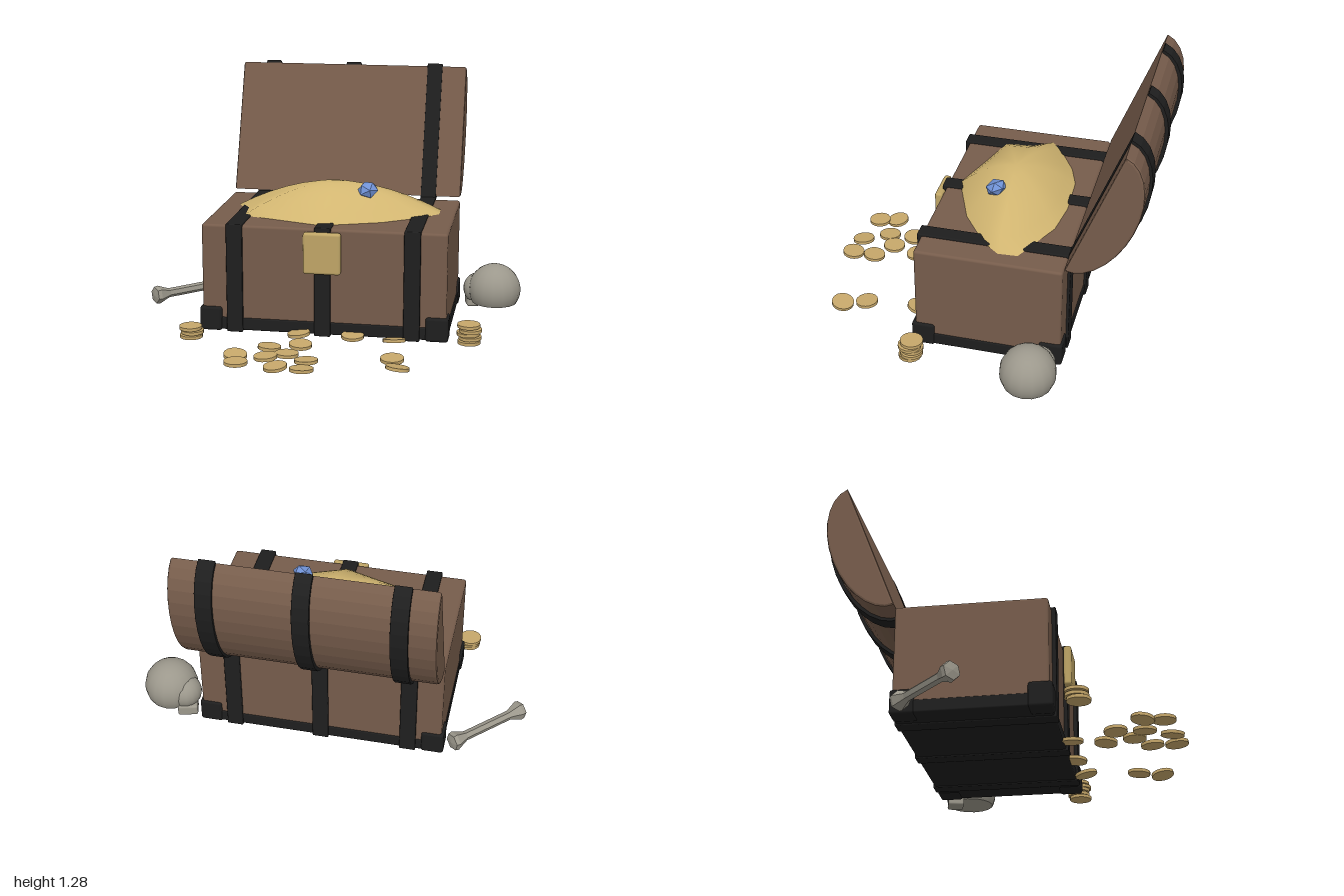
import * as THREE from 'three';
import { RoundedBoxGeometry } from 'three/addons/geometries/RoundedBoxGeometry.js';

const mat = (name, color, side = THREE.FrontSide) => {
  const m = new THREE.MeshStandardMaterial({ color, side });
  m.name = name;
  return m;
};

export function createModel() {
  const root = new THREE.Group();
  root.name = 'treasureChest';
  const wood = mat('brown wood', 0x765c4b);
  const iron = mat('black iron', 0x1e1e1e);
  const gold = mat('pile gold', 0xd2b671, THREE.DoubleSide);
  const coinGold = mat('coin gold', 0xc6a76a);
  const brass = mat('lock brass', 0xbfa566);
  const bone = mat('grey bone', 0x9c988c);
  const blue = mat('blue gem', 0x7092d6);

  const add = (name, geo, material, x = 0, y = 0, z = 0, parent = root) => {
    const m = new THREE.Mesh(geo, material);
    m.name = name;
    m.position.set(x, y, z);
    parent.add(m);
    return m;
  };
  // Rounded box given by its min and max corners
  const block = (name, material, a, b, r) => add(name,
    new RoundedBoxGeometry(b[0] - a[0], b[1] - a[1], b[2] - a[2], 2, r), material,
    (a[0] + b[0]) / 2, (a[1] + b[1]) / 2, (a[2] + b[2]) / 2);
  const flat = (geo) => {
    const g = geo.index ? geo.toNonIndexed() : geo;
    g.computeVertexNormals();
    return g;
  };

  const bandX = [-0.43, 0.025, 0.48];
  const bandW = 0.083;

  // Chest body, iron base and corner caps
  block('body', wood, [-0.602, 0.03, -0.49], [0.655, 0.572, 0.255], 0.014);
  block('baseTrim', iron, [-0.607, 0.018, -0.495], [0.66, 0.083, 0.262], 0.008);
  for (const x of [-0.615, 0.55])
    for (const z of [-0.5, 0.155])
      block('cornerCap', iron, [x, 0.012, z], [x + 0.116, 0.137, z + 0.118], 0.014);

  // Half-ellipse lid section, tilted open, extruded along x
  const lidPart = (name, material, a, b, x0, x1, bevel, lift) => {
    const shape = new THREE.Shape();
    const n = 14;
    for (let i = 0; i <= n; i++) {
      const t = -Math.PI / 2 + (Math.PI * i) / n;
      const u = a * Math.sin(t), d = b * Math.cos(t) - lift;
      const px = 0.6285 + 0.366 * u + 0.93 * d, py = 0.925 + 0.93 * u - 0.366 * d;
      if (i) shape.lineTo(px, py); else shape.moveTo(px, py);
    }
    shape.closePath();
    const geo = new THREE.ExtrudeGeometry(shape, {
      depth: x1 - x0 - 2 * bevel, bevelEnabled: true, bevelThickness: bevel,
      bevelSize: bevel, bevelOffset: -bevel, bevelSegments: 2,
    });
    geo.rotateY(Math.PI / 2);
    return add(name, geo, material, x0 + bevel, 0, 0);
  };
  lidPart('lid', wood, 0.363, 0.203, -0.602, 0.655, 0.012, 0);

  // Iron bands around body and lid
  bandX.forEach((x, i) => {
    const x0 = x - bandW / 2, x1 = x + bandW / 2;
    block('bodyBand', iron, [x0, 0.011, -0.503], [x1, 0.582, 0.275], 0.006);
    lidPart('lidBand', iron, 0.378, 0.22, x0, x1, 0.003, i === 2 ? 0.002 : -0.002);
  });

  // Lock plate
  block('lockPlate', brass, [-0.07, 0.345, 0.262], [0.122, 0.56, 0.303], 0.014);

  // Gold heap: rings shrinking from an uneven outline up to the crown
  const outline = [[-0.505, -0.19], [-0.45, -0.24], [-0.265, -0.345], [-0.13, -0.39],
    [0.11, -0.4], [0.3, -0.375], [0.57, -0.25], [0.575, -0.15], [0.5, -0.06],
    [0.3, 0.08], [0.005, 0.195], [-0.235, 0.115], [-0.43, 0.055], [-0.445, -0.09]];
  const cx = 0.03, cz = -0.11, rings = 6, n = outline.length;
  const pos = [cx, 0.743, cz], idx = [];
  for (let r = 1; r <= rings; r++) {
    const f = r / rings;
    for (const [x, z] of outline)
      pos.push(cx + (x - cx) * f, 0.574 + 0.169 * (1 - Math.pow(f, 1.75)), cz + (z - cz) * f);
  }
  for (let j = 0; j < n; j++) {
    const k = (j + 1) % n;
    idx.push(0, 1 + k, 1 + j);
    for (let r = 0; r < rings - 1; r++) {
      const a = 1 + r * n + j, b = 1 + r * n + k;
      idx.push(a, b, a + n, b, b + n, a + n);
    }
  }
  const heap = new THREE.BufferGeometry();
  heap.setAttribute('position', new THREE.Float32BufferAttribute(pos, 3));
  heap.setIndex(idx);
  heap.computeVertexNormals();
  add('goldHeap', heap, gold);

  // Gem on the heap
  const gem = add('gem', flat(new THREE.IcosahedronGeometry(0.056, 0)), blue, 0.21, 0.712, -0.05);
  gem.scale.y = 0.75;
  gem.rotation.set(0.3, 0.4, 0.1);

  // Loose coins, slightly tilted
  const coinGeo = new THREE.CylinderGeometry(0.058, 0.058, 0.016, 16);
  const coins = [[-0.09, 0.3], [0.185, 0.29], [0.4, 0.32], [-0.05, 0.465], [-0.195, 0.525],
    [-0.09, 0.61], [-0.335, 0.665], [-0.185, 0.665], [-0.31, 0.765], [-0.11, 0.795],
    [0.02, 0.69], [0.02, 0.81], [0.425, 0.595], [0.465, 0.715]];
  coins.forEach(([x, z], i) => {
    const c = add('coin', coinGeo, coinGold, x, 0.03, z);
    c.rotation.set(0.12 * Math.sin(i * 2.3), i, 0.12 * Math.cos(i * 1.7));
  });
  // Coin stacks
  for (const [x, z, count] of [[-0.628, 0.387, 3], [0.77, 0.245, 5]])
    for (let i = 0; i < count; i++)
      add('stackedCoin', coinGeo, coinGold, x + 0.006 * Math.sin(i * 2.5), 0.022 + i * 0.0205,
        z + 0.006 * Math.cos(i * 2.1));

  // Skull: cut dome with a closed base, face bulge and jaw
  const skull = new THREE.Group();
  skull.name = 'skull';
  root.add(skull);
  const dome = (name, r, cut, x, y, z) => {
    const th = Math.acos(-cut / r), s = Math.sin(th) * r;
    add(name, new THREE.SphereGeometry(r, 16, 12, 0, Math.PI * 2, 0, th), bone, x, y, z, skull);
    const cap = add(name + 'Base', new THREE.CircleGeometry(s, 16), bone, x, y - cut, z, skull);
    cap.rotation.x = Math.PI / 2;
  };
  dome('cranium', 0.14, 0.07, 0.86, 0.113, -0.375);
  dome('face', 0.088, 0.055, 0.778, 0.105, -0.405);
  const jaw = add('jaw', new RoundedBoxGeometry(0.105, 0.06, 0.085, 2, 0.012), bone, 0.755, 0.031, -0.44, skull);
  jaw.rotation.y = 0.25;

  // Loose bone with flared ends
  const half = [[0.034, 0.165], [0.05, 0.205], [0.046, 0.225], [0, 0.232]];
  const profile = [...half.map(([r, y]) => [r, -y]).reverse(), [0.025, -0.14], [0.025, 0.14], ...half]
    .map(([r, y]) => new THREE.Vector2(r, y));
  const loose = add('looseBone', flat(new THREE.LatheGeometry(profile, 6)), bone, -0.813, 0.055, -0.288);
  loose.quaternion.setFromUnitVectors(new THREE.Vector3(0, 1, 0),
    new THREE.Vector3(1, 0, -1).normalize());

  return root;
}
